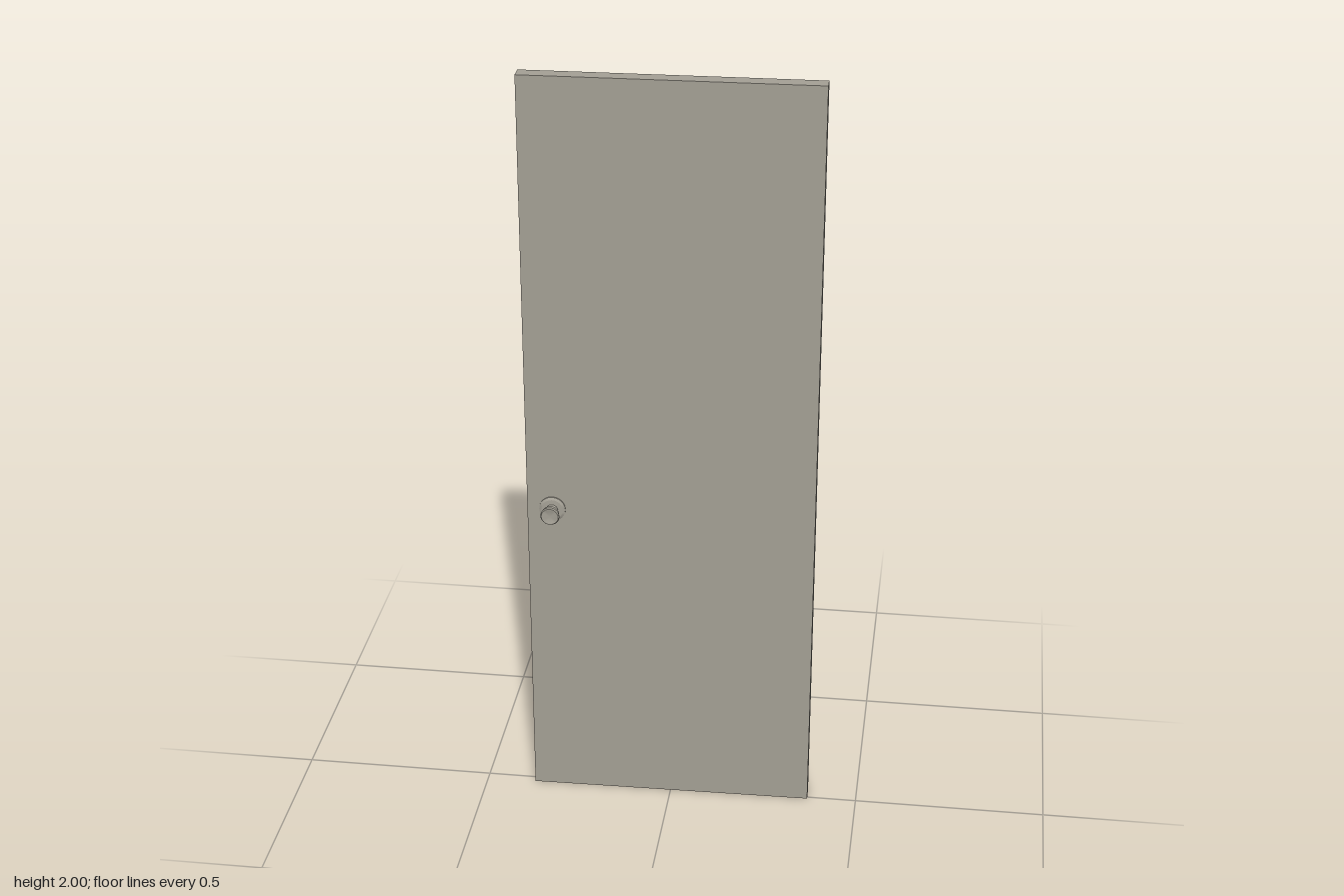
import * as THREE from 'three';
import { toCreasedNormals } from 'three/addons/utils/BufferGeometryUtils.js';

const THICKNESS = 0.04;

export function createModel() {
  const model = new THREE.Group();
  model.name = 'door';
  const paint = new THREE.MeshStandardMaterial({ color: 0xa39f94 });
  paint.name = 'warm grey';

  // The whole door stands very slightly ajar
  const leaf = new THREE.Group();
  leaf.name = 'doorLeaf';
  leaf.position.z = -0.0065;
  leaf.rotation.y = 0.0176;
  model.add(leaf);

  const panel = new THREE.Mesh(new THREE.BoxGeometry(0.74, 2, THICKNESS), paint);
  panel.name = 'doorPanel';
  panel.position.y = 1;
  leaf.add(panel);

  // Turned part whose axis points out of the door; profile is [radius, height above door face]
  const turned = (name, profile) => {
    const points = profile.map(([r, h]) => new THREE.Vector2(r, h));
    const geometry = new THREE.LatheGeometry(points, 24).rotateX(Math.PI / 2);
    const mesh = new THREE.Mesh(toCreasedNormals(geometry, 0.5), paint);
    mesh.name = name;
    return mesh;
  };

  // One knob set on each face
  for (const [name, side] of [['frontKnob', 1], ['backKnob', -1]]) {
    const set = new THREE.Group();
    set.name = name;
    set.add(
      turned('rose', [[0.034, 0], [0.034, 0.003], [0.028, 0.007], [0.016, 0.008], [0, 0.008]]),
      turned('neck', [[0.016, 0.007], [0.014, 0.01], [0.012, 0.014], [0.014, 0.02], [0.016, 0.025]]),
      turned('knob', [[0, 0.024], [0.018, 0.024], [0.021, 0.026], [0.0245, 0.042],
        [0.022, 0.046], [0.018, 0.046], [0.016, 0.045], [0, 0.045]])
    );
    set.position.set(-0.305, 0.845, side * THICKNESS / 2);
    if (side < 0) set.rotation.y = Math.PI;
    leaf.add(set);
  }
  return model;
}
